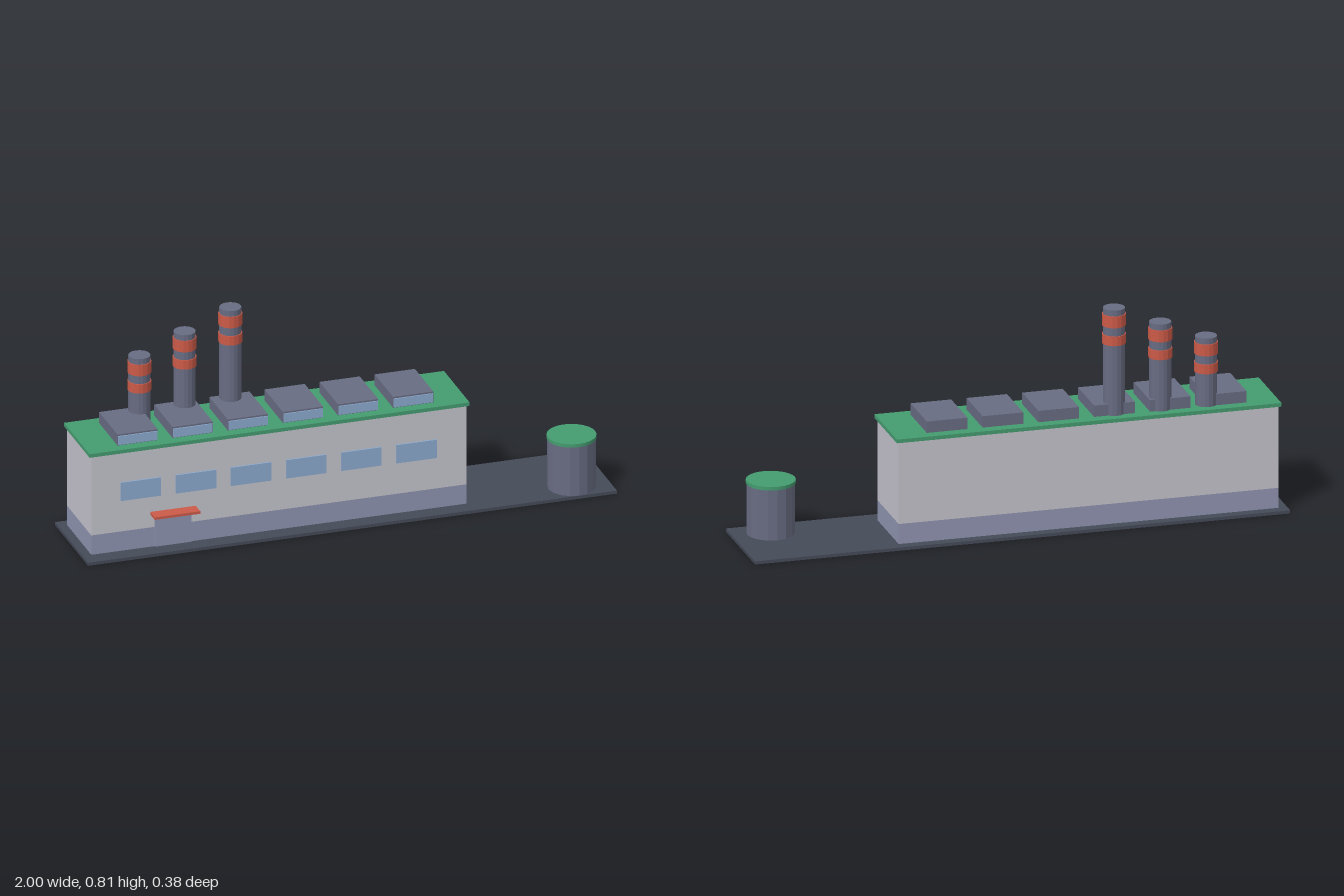
import * as THREE from 'three';

const mat = (name, color, flatShading = false) => {
  const m = new THREE.MeshStandardMaterial({ color });
  m.name = name;
  m.flatShading = flatShading;
  return m;
};

export function createModel() {
  const model = new THREE.Group();
  model.name = 'factory';

  const asphalt = mat('asphalt', 0x454a58);
  const wall = mat('wall', 0xc4c3cc);
  const plinth = mat('plinth', 0x8f94b0);
  const green = mat('roofGreen', 0x449b70);
  const metal = mat('metal', 0x686c82, true);
  const glass = mat('glass', 0x8caacf);
  const red = mat('red', 0xcc5a48, true);

  // Box given by its extents on each axis
  const box = (name, m, [x0, x1], [y0, y1], [z0, z1], parent = model) => {
    const mesh = new THREE.Mesh(new THREE.BoxGeometry(x1 - x0, y1 - y0, z1 - z0), m);
    mesh.position.set((x0 + x1) / 2, (y0 + y1) / 2, (z0 + z1) / 2);
    mesh.name = name;
    parent.add(mesh);
  };
  // Upright cylinder from y0 to y1
  const cylinder = (name, m, r, x, z, y0, y1, sides, parent = model) => {
    const mesh = new THREE.Mesh(new THREE.CylinderGeometry(r, r, y1 - y0, sides), m);
    mesh.position.set(x, (y0 + y1) / 2, z);
    mesh.name = name;
    parent.add(mesh);
  };

  // Ground slab and main hall
  box('groundSlab', asphalt, [-1, 1], [0, 0.012], [-0.188, 0.188]);
  box('hallPlinth', plinth, [-0.967, 0.452], [0.012, 0.088], [-0.15, 0.125]);
  box('hallWalls', wall, [-0.967, 0.452], [0.088, 0.398], [-0.15, 0.125]);
  box('roof', green, [-0.976, 0.461], [0.398, 0.412], [-0.158, 0.133]);

  // Windows and rooftop skylights share the same spacing
  for (let i = 0; i < 6; i++) {
    const x = -0.781 + i * 0.2085;
    const span = [x - 0.076, x + 0.076];
    box('window', glass, span, [0.21, 0.282], [0.124, 0.131]);
    const skylight = new THREE.Group();
    skylight.name = 'skylight';
    box('skylightHousing', metal, span, [0.412, 0.455], [-0.117, 0.092], skylight);
    box('skylightGlass', glass, [x - 0.074, x + 0.074], [0.415, 0.449], [0.091, 0.096], skylight);
    model.add(skylight);
  }

  // Entrance
  box('door', plinth, [-0.728, -0.589], [0.012, 0.134], [0.124, 0.13]);
  box('doorCanopy', red, [-0.744, -0.572], [0.139, 0.149], [0.124, 0.176]);

  // Chimneys, each 0.07 taller than the last, with two red bands
  [-0.714, -0.543, -0.37].forEach((x, i) => {
    const top = 0.672 + i * 0.07;
    const chimney = new THREE.Group();
    chimney.name = 'chimney';
    cylinder('stack', metal, 0.04, x, -0.089, 0.4, top, 16, chimney);
    cylinder('upperBand', red, 0.0435, x, -0.089, top - 0.066, top - 0.022, 16, chimney);
    cylinder('lowerBand', red, 0.0435, x, -0.089, top - 0.134, top - 0.098, 16, chimney);
    model.add(chimney);
  });

  // Storage tank
  cylinder('tank', metal, 0.088, 0.858, 0.099, 0.012, 0.203, 16);
  cylinder('tankLid', green, 0.09, 0.858, 0.098, 0.203, 0.216, 24);

  return model;
}
